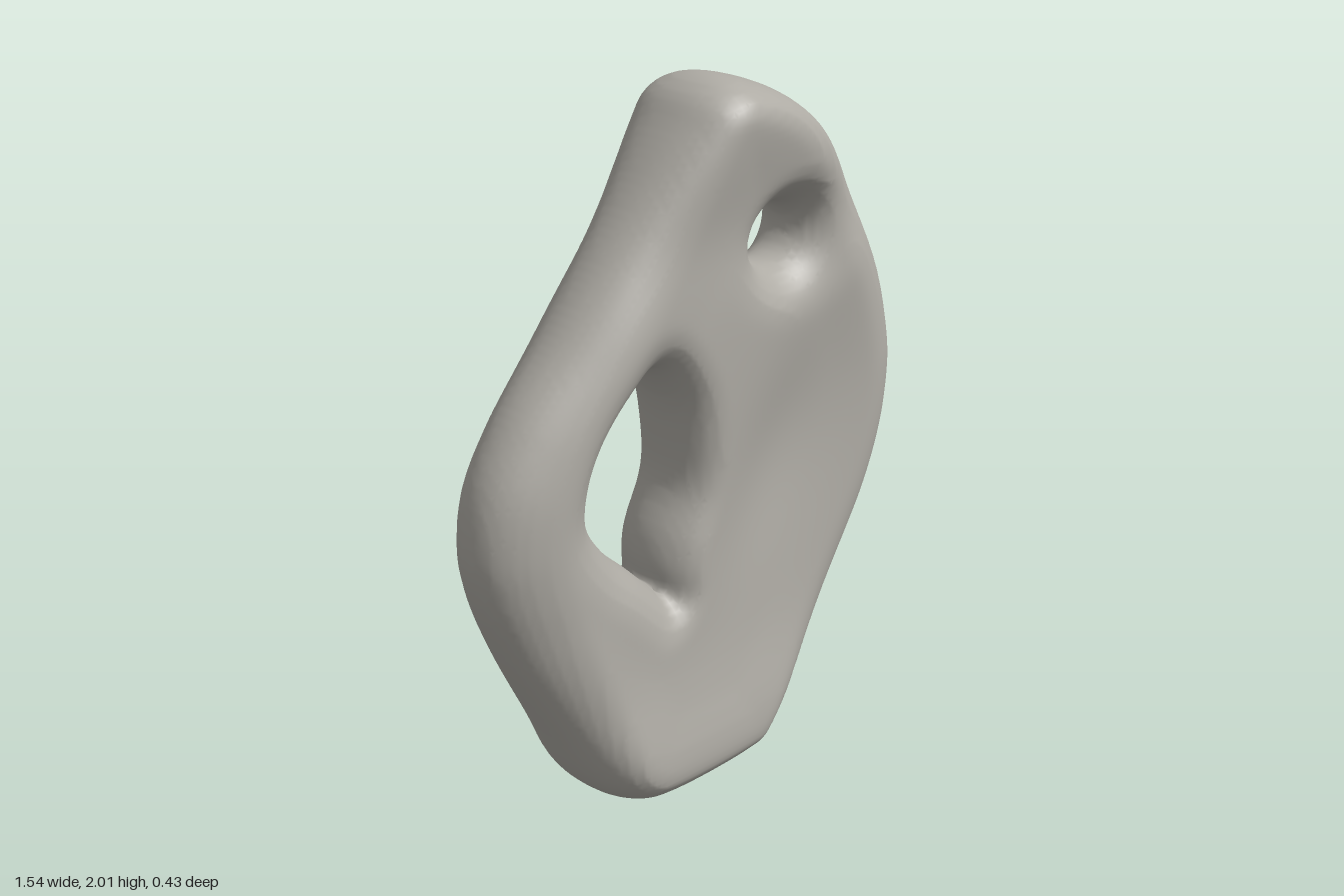
import * as THREE from 'three';

const pts = (a) => a.map(([x, y]) => new THREE.Vector3(x, y, 0));
const loop = (a, n) => new THREE.CatmullRomCurve3(pts(a), true, 'centripetal').getPoints(n);

// Outer silhouette, clockwise from the top
const outline = loop([
  [0.06, 2.002], [0.16, 1.985], [0.32, 1.915], [0.46, 1.805], [0.61, 1.57], [0.71, 1.36], [0.76, 1.17],
  [0.769, 1.06], [0.745, 0.88], [0.675, 0.69], [0.56, 0.5], [0.39, 0.27], [0.22, 0.07], [0.16, 0.015],
  [0.08, -0.002], [-0.24, -0.002], [-0.33, 0.02], [-0.42, 0.09], [-0.54, 0.3], [-0.68, 0.57], [-0.75, 0.75],
  [-0.773, 0.89], [-0.745, 1.06], [-0.65, 1.22], [-0.47, 1.42], [-0.27, 1.66], [-0.09, 1.89], [-0.02, 1.97],
], 160);

// Large leaf-shaped opening, pointed at the bottom
const largeHole = new THREE.CatmullRomCurve3(pts([
  [-0.165, 0.61], [-0.255, 0.7], [-0.36, 0.8], [-0.43, 0.915], [-0.425, 1.01], [-0.38, 1.115],
  [-0.295, 1.21], [-0.2, 1.27], [-0.115, 1.17], [-0.083, 1], [-0.09, 0.89], [-0.15, 0.76],
  [-0.168, 0.68], [-0.165, 0.61],
]), false, 'centripetal').getPoints(90);

// Small oval opening
const smallHole = new THREE.EllipseCurve(0.273, 1.537, 0.1, 0.085).getPoints(40);

// Signed distance to a closed polygon, positive inside
function inside(x, y, poly) {
  let best = Infinity, sign = -1;
  for (let i = 0, j = poly.length - 1; i < poly.length; j = i++) {
    const a = poly[j], b = poly[i], ex = b.x - a.x, ey = b.y - a.y;
    const t = Math.min(1, Math.max(0, ((x - a.x) * ex + (y - a.y) * ey) / (ex * ex + ey * ey || 1)));
    best = Math.min(best, Math.hypot(x - a.x - t * ex, y - a.y - t * ey));
    if ((a.y > y) !== (b.y > y) && x < a.x + ((y - a.y) / ey) * ex) sign = -sign;
  }
  return best * sign;
}

const bump = (t) => Math.exp(-t * t);
const smooth = THREE.MathUtils.smoothstep;

// Half thickness: heavy foot, flared top, valley between the lip and the right rim
function halfThickness(x, y, rim) {
  const crest = 0.173 + 0.045 * bump((y - 0.13) / 0.22) + 0.019 * bump((y - 1.97) / 0.18) - 0.014 * bump((y - 1.6) / 0.14);
  const u = (x - 0.27) * 0.87 - (y - 0.93) * 0.5, v = (x - 0.27) * 0.5 + (y - 0.93) * 0.87;
  const valley = 0.05 * bump(u / 0.19) * bump(v / 0.36);
  const dish = 0.012 * smooth(rim, 0.1, 0.32);
  const funnel = 0.035 * bump(((x - 0.3) / 0.2) ** 2 + ((y - 1.52) / 0.16) ** 2);
  const thinLeft = 0.012 * (1 - smooth(x, -0.65, -0.3)) * smooth(y, 0.4, 0.7);
  return crest - valley - dish - funnel - thinLeft;
}

// Mesh the solid: one vertex per crossed cell, one quad per crossed edge
function buildSolid() {
  const step = 0.02, n = [82, 106, 26], org = [-0.811, -0.051, -0.25];
  const stride = [1, n[0], n[0] * n[1]], field = new Float32Array(n[0] * n[1] * n[2]);
  for (let j = 0; j < n[1]; j++) for (let i = 0; i < n[0]; i++) {
    const x = org[0] + i * step, y = org[1] + j * step;
    const rim = inside(x, y, outline), p = 2.2;
    const edge = 0.17 - 0.07 * bump(y / 0.3) - 0.08 * bump((y - 2) / 0.3) + 0.05 * (1 - smooth(x, -0.7, -0.3));
    const lip = 0.16 - 0.05 * smooth(x, -0.25, -0.05);
    const soft = (d, r, power) => Math.pow(Math.max(0, 1 - d / r), power);
    const side = soft(rim, edge, 1.8) + soft(-inside(x, y, largeHole), lip, p) + soft(-inside(x, y, smallHole), 0.11, p);
    const t = halfThickness(x, y, rim);
    for (let k = 0; k < n[2]; k++) {
      const z = Math.abs(org[2] + k * step) / t;
      field[i + j * stride[1] + k * stride[2]] = Math.pow(side + Math.pow(z, p), 1 / p) - 1;
    }
  }

  const ids = new Int32Array(field.length).fill(-1), position = [], index = [];
  const cells = (visit) => {
    for (let k = 1; k < n[2] - 1; k++) for (let j = 1; j < n[1] - 1; j++) for (let i = 1; i < n[0] - 1; i++) {
      visit([i, j, k], i + j * stride[1] + k * stride[2]);
    }
  };
  cells((c, at) => {
    const sum = [0, 0, 0];
    let count = 0;
    for (let m = 0; m < 8; m++) for (let a = 0; a < 3; a++) {
      if (m & (1 << a)) continue;
      const corner = [m & 1, (m >> 1) & 1, m >> 2];
      const s = at + corner[0] + corner[1] * stride[1] + corner[2] * stride[2];
      const f0 = field[s], f1 = field[s + stride[a]];
      if ((f0 < 0) === (f1 < 0)) continue;
      corner[a] = f0 / (f0 - f1);
      for (let q = 0; q < 3; q++) sum[q] += corner[q];
      count++;
    }
    if (!count) return;
    ids[at] = position.length / 3;
    for (let q = 0; q < 3; q++) position.push(org[q] + (c[q] + sum[q] / count) * step);
  });
  cells((c, at) => {
    for (let a = 0; a < 3; a++) {
      const f0 = field[at] < 0, f1 = field[at + stride[a]] < 0;
      if (f0 === f1) continue;
      const u = stride[(a + 1) % 3], v = stride[(a + 2) % 3];
      const q = [ids[at - u - v], ids[at - v], ids[at], ids[at - u]];
      if (!f0) q.reverse();
      index.push(q[0], q[1], q[2], q[0], q[2], q[3]);
    }
  });

  const geometry = new THREE.BufferGeometry();
  geometry.setAttribute('position', new THREE.Float32BufferAttribute(position, 3));
  geometry.setIndex(index);
  geometry.computeVertexNormals();
  return geometry;
}

export function createModel() {
  const stone = new THREE.MeshStandardMaterial({ color: 0xaeaba4 });
  stone.name = 'warm grey stone';
  const body = new THREE.Mesh(buildSolid(), stone);
  body.name = 'piercedStoneBody';
  const group = new THREE.Group();
  group.name = 'piercedStoneSculpture';
  group.add(body);
  return group;
}
